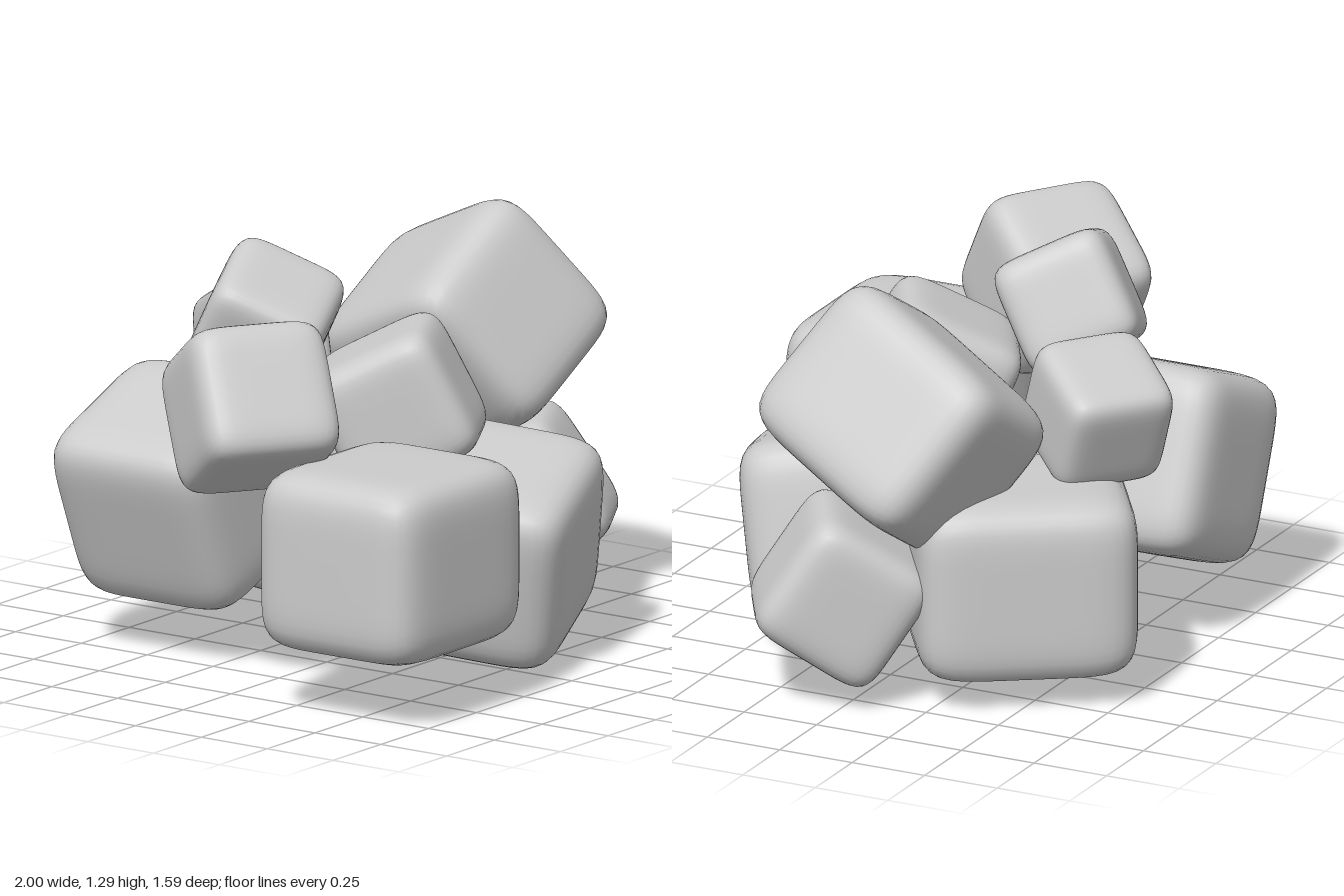
import * as THREE from 'three';

// Soft pillow-like block: a box grid pulled onto a superellipsoid, with smooth normals
function softBlockGeometry(w, h, d, power = 6) {
  const geometry = new THREE.BoxGeometry(2, 2, 2, 16, 16, 16);
  const half = new THREE.Vector3(w / 2, h / 2, d / 2);
  const { position, normal } = geometry.attributes;
  const p = new THREE.Vector3();
  const n = new THREE.Vector3();
  const slope = (v) => Math.sign(v) * Math.abs(v) ** (power - 1);
  for (let i = 0; i < position.count; i++) {
    p.fromBufferAttribute(position, i);
    const reach = Math.abs(p.x) ** power + Math.abs(p.y) ** power + Math.abs(p.z) ** power;
    p.divideScalar(reach ** (1 / power));
    n.set(slope(p.x), slope(p.y), slope(p.z)).divide(half).normalize();
    p.multiply(half);
    position.setXYZ(i, p.x, p.y, p.z);
    normal.setXYZ(i, n.x, n.y, n.z);
  }
  return geometry;
}

// One block, turned so its own x and y axes follow the given directions
function makeBlock(material, { name, size, at, x, y }) {
  const mesh = new THREE.Mesh(softBlockGeometry(...size), material);
  const xAxis = new THREE.Vector3(...x).normalize();
  const zAxis = new THREE.Vector3().crossVectors(xAxis, new THREE.Vector3(...y)).normalize();
  const yAxis = new THREE.Vector3().crossVectors(zAxis, xAxis);
  mesh.quaternion.setFromRotationMatrix(new THREE.Matrix4().makeBasis(xAxis, yAxis, zAxis));
  mesh.position.set(...at);
  mesh.name = name;
  return mesh;
}

const cube = (s) => [s, s, s];

const blocks = [
  // Large blocks of the lower layer
  { name: 'frontRightBlock', size: [0.675, 0.575, 0.61], at: [-0.585, 0.485, 0.485], x: [1, 0, 0], y: [0, 1, 0] },
  { name: 'frontBlock', size: [0.645, 0.58, 0.6], at: [0.15, 0.35, 0.325], x: [0.917, 0.23, -0.33], y: [-0.17, 0.96, 0.2] },
  { name: 'backRightBlock', size: [0.58, 0.595, 0.6], at: [-0.355, 0.517, -0.47], x: [0.927, 0.375, 0], y: [-0.375, 0.927, 0] },
  { name: 'backLeftBlock', size: [0.62, 0.585, 0.69], at: [0.38, 0.38, -0.388], x: [0.83, 0, -0.55], y: [0, 1, 0] },
  // Small block low on the left side
  { name: 'lowerLeftBlock', size: cube(0.44), at: [0.71, 0.345, 0.062], x: [0.86, 0, -0.5], y: [-0.28, 0.83, -0.47] },
  // Blocks of the upper layer
  { name: 'upperLeftBlock', size: [0.565, 0.575, 0.68], at: [0.593, 0.88, -0.085], x: [0.861, 0.512, 0.022], y: [-0.44, 0.76, -0.48] },
  { name: 'upperRightBlock', size: cube(0.445), at: [-0.697, 0.905, 0.036], x: [0.82, 0, 0.57], y: [0.3, 0.85, -0.43] },
  { name: 'upperMiddleBlock', size: cube(0.43), at: [-0.048, 0.798, 0.125], x: [0.87, 0, -0.5], y: [-0.227, 0.89, -0.395] },
  { name: 'upperBackBlock', size: cube(0.377), at: [-0.225, 1.03, -0.253], x: [0.88, 0.33, -0.32], y: [-0.125, 0.8, 0.48] },
  { name: 'rearSmallBlock', size: cube(0.363), at: [0.165, 0.85, -0.545], x: [0.79, 0, 0.61], y: [0.24, 0.92, -0.31] },
];

export function createModel() {
  const group = new THREE.Group();
  group.name = 'blockCluster';
  const material = new THREE.MeshStandardMaterial({ color: 0xcccccc });
  for (const block of blocks) group.add(makeBlock(material, block));
  return group;
}
